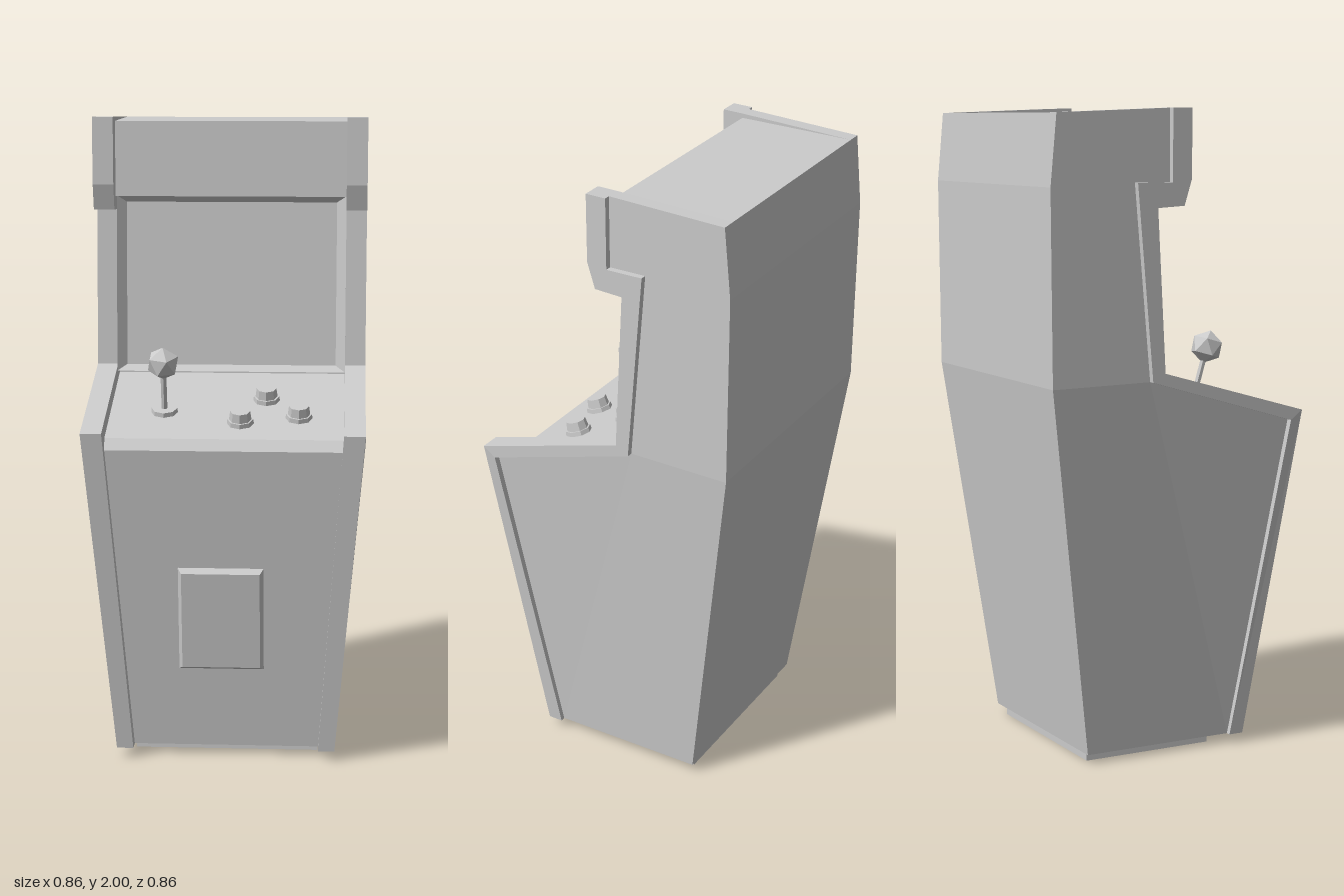
import * as THREE from 'three';

const material = new THREE.MeshStandardMaterial({ color: 0xcccccc, flatShading: true });

function addMesh(parent, name, geometry, x = 0, y = 0, z = 0) {
  const mesh = new THREE.Mesh(geometry, material);
  mesh.name = name;
  mesh.position.set(x, y, z);
  parent.add(mesh);
  return mesh;
}

// Extrude a [z, y] profile from x0 to x1, narrowing its foot
function slab(points, x0, x1) {
  const shape = new THREE.Shape(points.map(([z, y]) => new THREE.Vector2(-z, y)));
  const g = new THREE.ExtrudeGeometry(shape, { depth: x1 - x0, bevelEnabled: false });
  g.rotateY(Math.PI / 2).translate(x0, 0, 0);
  const p = g.attributes.position;
  for (let i = 0; i < p.count; i++) if (p.getY(i) < 0.1) p.setX(i, p.getX(i) * 0.8);
  g.computeVertexNormals();
  return g;
}

// Plate made of stacked rectangles [width, height, z], capped at both ends
function plate(rects) {
  const pos = [], index = [], n = rects.length;
  for (const [w, h, z] of rects) {
    for (const [sx, sy] of [[-1, -1], [1, -1], [1, 1], [-1, 1]]) pos.push(sx * w / 2, sy * h / 2, z);
  }
  for (let r = 0; r < n - 1; r++) {
    for (let i = 0; i < 4; i++) {
      const a = r * 4 + i, b = r * 4 + (i + 1) % 4;
      index.push(a, b, b + 4, a, b + 4, a + 4);
    }
  }
  const e = (n - 1) * 4;
  index.push(0, 2, 1, 0, 3, 2, e, e + 1, e + 2, e, e + 2, e + 3);
  const g = new THREE.BufferGeometry();
  g.setAttribute('position', new THREE.Float32BufferAttribute(pos, 3));
  g.setIndex(index);
  const flat = g.toNonIndexed();
  flat.computeVertexNormals();
  return flat;
}

export function createModel() {
  const root = new THREE.Group();
  root.name = 'arcadeCabinet';

  // Profiles as [z, y]
  const back = [[-0.41, 1.985], [-0.43, 1.77], [-0.425, 1.18], [-0.27, 0.03]];
  const inner = [[0.228, 0.03], [0.39, 1.04], [-0.1, 1.185], [-0.153, 1.78], [-0.035, 1.78], [-0.035, 1.999]];
  const outer = [[0.03, 2], [0.03, 1.79], [0.005, 1.71], [-0.085, 1.705], [-0.058, 1.21], [0.43, 1.07], [0.275, 0.03]];

  // Central body with front panel, control deck and marquee
  const core = [...back, [0.228, 0.03], [0.375, 1.01], [0.35, 1.043], [-0.1, 1.176],
    [-0.12, 1.75], [-0.03, 1.75], [-0.037, 1.985]];
  addMesh(root, 'body', slab(core, -0.365, 0.365));

  // Side panels and their raised edge trim
  for (const [side, s] of [['left', 1], ['right', -1]]) {
    const span = (a, b) => (s > 0 ? [a, b] : [-b, -a]);
    addMesh(root, side + 'SidePanel', slab([...back, ...inner], ...span(0.365, 0.41)));
    addMesh(root, side + 'EdgeTrim', slab([...inner, ...outer], ...span(0.365, 0.43)));
  }

  // Plinth
  addMesh(root, 'plinth', new THREE.BoxGeometry(0.58, 0.03, 0.43), 0, 0.015, -0.04);

  // Screen with a bezel sloping inwards
  const screen = addMesh(root, 'screen',
    plate([[0.73, 0.56, -0.06], [0.73, 0.56, 0], [0.67, 0.52, -0.022]]), 0, 1.47, -0.052);
  screen.rotation.x = -0.06;

  // Coin door on the front panel
  const door = addMesh(root, 'coinDoor',
    plate([[0.265, 0.34, -0.01], [0.265, 0.34, 0.002], [0.243, 0.315, 0.02]]), -0.012, 0.463, 0.293);
  door.rotation.x = Math.atan(0.15);

  // Controls, each standing square to the sloping deck
  const controlAt = (name, x, z) => {
    const g = new THREE.Group();
    g.name = name;
    g.position.set(x, 1.043 + (0.35 - z) * 0.296, z);
    g.rotation.x = Math.atan(0.296);
    root.add(g);
    return g;
  };

  [[0.12, 0.09], [0.045, 0.245], [0.225, 0.208]].forEach(([x, z], i) => {
    const button = controlAt('button' + (i + 1), x, z);
    addMesh(button, 'buttonCollar', new THREE.CylinderGeometry(0.04, 0.042, 0.014, 8), 0, 0.007, 0);
    addMesh(button, 'buttonCap', new THREE.CylinderGeometry(0.031, 0.035, 0.03, 8), 0, 0.027, 0);
  });

  const stick = controlAt('joystick', -0.195, 0.175);
  addMesh(stick, 'joystickBase', new THREE.CylinderGeometry(0.04, 0.042, 0.014, 8), 0, 0.007, 0);
  addMesh(stick, 'joystickShaft', new THREE.CylinderGeometry(0.01, 0.01, 0.14, 6), 0, 0.07, 0);
  const ball = new THREE.IcosahedronGeometry(0.053, 0).rotateZ(-0.5536);
  addMesh(stick, 'joystickBall', ball, 0, 0.167, 0);

  return root;
}
